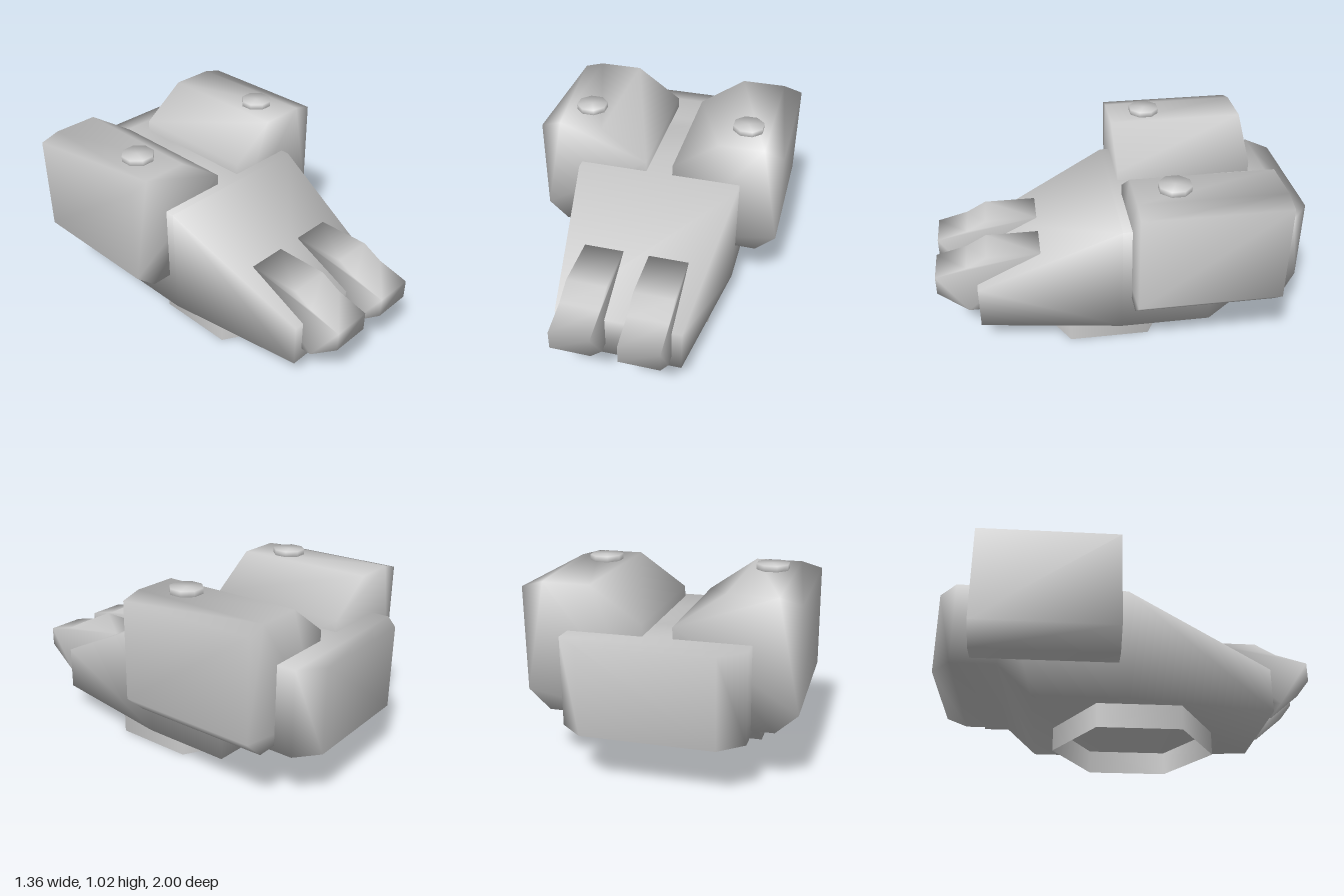
import * as THREE from 'three';
import { mergeVertices } from 'three/addons/utils/BufferGeometryUtils.js';

const material = new THREE.MeshStandardMaterial({ color: 0xcccccc });

// Share corners so the shading runs softly across every edge
function soften(geometry) {
  geometry.deleteAttribute('normal');
  geometry.deleteAttribute('uv');
  const merged = mergeVertices(geometry, 1e-4);
  merged.computeVertexNormals();
  return merged;
}

function part(name, geometry, mat = material) {
  const mesh = new THREE.Mesh(geometry, mat);
  mesh.name = name;
  return mesh;
}

function prism(points, depth) {
  const shape = new THREE.Shape(points.map(([x, y]) => new THREE.Vector2(x, y)));
  return new THREE.ExtrudeGeometry(shape, { depth, bevelEnabled: false });
}

// Rectangular sections [z, half width, bottom, top], listed front to back
function loft(sections) {
  const positions = [];
  const index = [];
  for (const [z, w, b, t] of sections) {
    positions.push(-w, b, z, w, b, z, w, t, z, -w, t, z);
  }
  const last = (sections.length - 1) * 4;
  for (let s = 0; s < last; s += 4) {
    for (let i = 0; i < 4; i++) {
      const j = (i + 1) % 4;
      index.push(s + i, s + 4 + i, s + j, s + j, s + 4 + i, s + 4 + j);
    }
  }
  index.push(0, 1, 2, 0, 2, 3);
  index.push(last, last + 2, last + 1, last, last + 3, last + 2);
  const geometry = new THREE.BufferGeometry();
  geometry.setAttribute('position', new THREE.Float32BufferAttribute(positions, 3));
  geometry.setIndex(index);
  geometry.computeVertexNormals();
  return geometry;
}

export function createModel() {
  const model = new THREE.Group();
  model.name = 'turret';

  // Wedge-nosed hull with a raised, chamfered tail
  model.add(part('hull', loft([
    [0.78, 0.34, 0.13, 0.37],
    [0.01, 0.457, 0.13, 0.75],
    [-0.48, 0.457, 0.13, 0.75],
    [-0.66, 0.457, 0.295, 0.75],
    [-0.9, 0.457, 0.295, 0.75],
    [-1, 0.335, 0.295, 0.75],
  ])));

  // Hollow six-sided mounting ring
  const ring = new THREE.CylinderGeometry(0.44, 0.44, 0.13, 6, 1, true);
  ring.translate(0, 0.065, 0.07);
  const ringMaterial = material.clone();
  ringMaterial.side = THREE.DoubleSide;
  model.add(part('mountingRing', ring, ringMaterial));

  const podProfile = [
    [0.075, 0.325], [0.572, 0.325], [0.682, 0.425], [0.682, 0.957],
    [0.575, 0.987], [0.33, 0.987], [0.075, 0.808],
  ];
  const snoutProfile = [
    [0.43, 0.545], [0.78, 0.2], [0.84, 0.2], [1, 0.335],
    [1, 0.44], [0.83, 0.485], [0.72, 0.545],
  ];

  for (const [label, side] of [['left', 1], ['right', -1]]) {
    // Side pod
    const pod = prism(podProfile.map(([x, y]) => [side * x, y]), 0.76);
    pod.translate(0, 0, -0.8);
    model.add(part(label + 'Pod', soften(pod)));

    // Round hatch on top of the pod
    const hatch = new THREE.CylinderGeometry(0.088, 0.088, 0.05, 8);
    hatch.rotateY(Math.PI / 8);
    hatch.translate(side * 0.453, 0.992, -0.25);
    model.add(part(label + 'Hatch', soften(hatch)));

    // Stubby barrel housing on the nose
    const snout = prism(snoutProfile, 0.216);
    snout.rotateY(-Math.PI / 2);
    snout.translate(0.108 + side * 0.178, 0, 0);
    model.add(part(label + 'BarrelHousing', soften(snout)));
  }

  return model;
}
